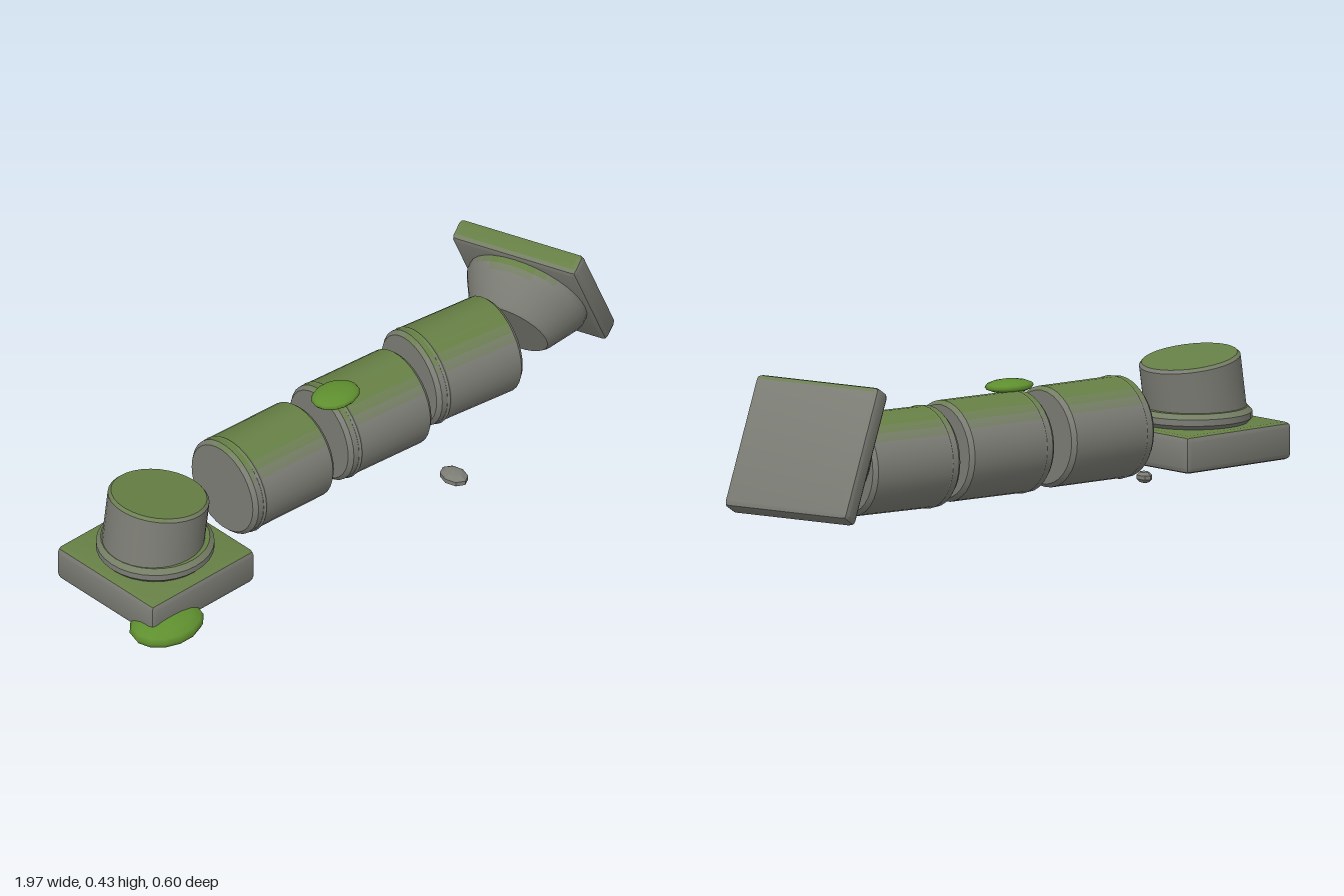
import * as THREE from 'three';
import { toCreasedNormals } from 'three/addons/utils/BufferGeometryUtils.js';
import { RoundedBoxGeometry } from 'three/addons/geometries/RoundedBoxGeometry.js';

const mat = (name, color) => Object.assign(new THREE.MeshStandardMaterial({ color }), { name });
const DEG = Math.PI / 180;

export function createModel() {
  const model = new THREE.Group();
  model.name = 'fallenColumn';
  const stone = mat('stone', 0x7c7d75);
  const stoneMats = [stone, mat('faintMossStone', 0x757e65), mat('mossyStone', 0x6d7f54), mat('mossCoveredStone', 0x667f45)];
  const moss = mat('moss', 0x5f8f2f);

  // Places a stone block, then colours its faces mossier the more they look up
  function addStone(name, geometry, position, rotation = [0, 0, 0]) {
    const pose = new THREE.Object3D();
    pose.position.set(...position);
    pose.rotation.set(rotation[0] * DEG, rotation[1] * DEG, rotation[2] * DEG, 'YXZ');
    pose.updateMatrix();
    const g = toCreasedNormals(geometry.applyMatrix4(pose.matrix), 0.5);
    const pos = g.attributes.position;
    const buckets = [[], [], [], []];
    const tri = new THREE.Triangle();
    const n = new THREE.Vector3();
    for (let i = 0; i < pos.count; i += 3) {
      tri.setFromAttributeAndIndices(pos, i, i + 1, i + 2);
      tri.getNormal(n);
      const level = [0.58, 0.72, 0.84].filter((t) => n.y > t).length;
      buckets[level].push(i, i + 1, i + 2);
    }
    g.setIndex(buckets.flat());
    g.clearGroups();
    let start = 0;
    buckets.forEach((b, i) => {
      if (b.length) g.addGroup(start, b.length, i);
      start += b.length;
    });
    const mesh = new THREE.Mesh(g, stoneMats);
    mesh.name = name;
    model.add(mesh);
  }

  const lathe = (points) => new THREE.LatheGeometry(points.map((p) => new THREE.Vector2(...p)), 32);

  // Standing base: square plinth, round moulding and broken shaft stub
  addStone('plinth', new RoundedBoxGeometry(0.4, 0.108, 0.4, 1, 0.016), [-0.755, 0.088, 0.012]);
  addStone('baseMoulding', lathe([
    [0, 0], [0.155, 0], [0.168, 0.014], [0.168, 0.032], [0.155, 0.046], [0, 0.046],
  ]), [-0.757, 0.14, 0.012]);
  addStone('shaftStub', lathe([
    [0, 0], [0.145, 0], [0.145, 0.175], [0.137, 0.184], [0, 0.184],
  ]), [-0.77, 0.146, 0.012], [0, 0, -8.6]);

  // Three fallen drums, each with a thin collar near one end
  const drums = [[-0.298, -0.032, 3], [0.077, -0.027, 5], [0.44, -0.035, 7.5]];
  drums.forEach(([x, z, turn], i) => {
    addStone('drum' + (i + 1), lathe([
      [0, -0.15], [0.134, -0.15], [0.145, -0.138], [0.145, 0.138], [0.134, 0.15], [0, 0.15],
    ]), [x, 0.169, z], [0, -turn, -90]);
    const collar = new THREE.TorusGeometry(0.14, 0.008, 6, 32).rotateY(Math.PI / 2);
    addStone('drumCollar' + (i + 1), collar, [x - 0.115, 0.169, z - 0.115 * Math.tan(turn * DEG) + 0.002], [0, -turn + 1, 0]);
  });

  // Toppled capital: flaring bell under a square slab
  const tilt = [-1, 18.6, -62.5];
  const face = [0.83, 0.262, -0.092];
  addStone('capitalBell', lathe([
    [0, -0.2], [0.118, -0.2], [0.128, -0.19], [0.174, -0.108], [0.182, -0.09], [0.182, -0.06], [0, -0.06],
  ]), face, tilt);
  addStone('capitalSlab', new RoundedBoxGeometry(0.4, 0.07, 0.4, 1, 0.016).translate(0, -0.035, 0), face, tilt);

  // Moss clumps and pebbles
  function addBlob(name, material, position, scale, geometry) {
    const mesh = new THREE.Mesh(geometry, material);
    mesh.name = name;
    mesh.position.set(...position);
    mesh.scale.set(...scale);
    model.add(mesh);
  }
  const clump = new THREE.SphereGeometry(1, 14, 8);
  addBlob('groundMoss', moss, [-0.882, 0.04, 0.192], [0.118, 0.038, 0.092], clump);
  addBlob('drumMoss', moss, [-0.053, 0.323, 0.008], [0.078, 0.019, 0.059], clump);
  const pebble = toCreasedNormals(new THREE.SphereGeometry(1, 8, 5), 0.5);
  addBlob('pebbleFront', stone, [0.173, 0.057, 0.257], [0.036, 0.021, 0.049], pebble);
  addBlob('pebbleBack', stone, [-0.37, 0.053, -0.211], [0.02, 0.018, 0.027], pebble);

  return model;
}
